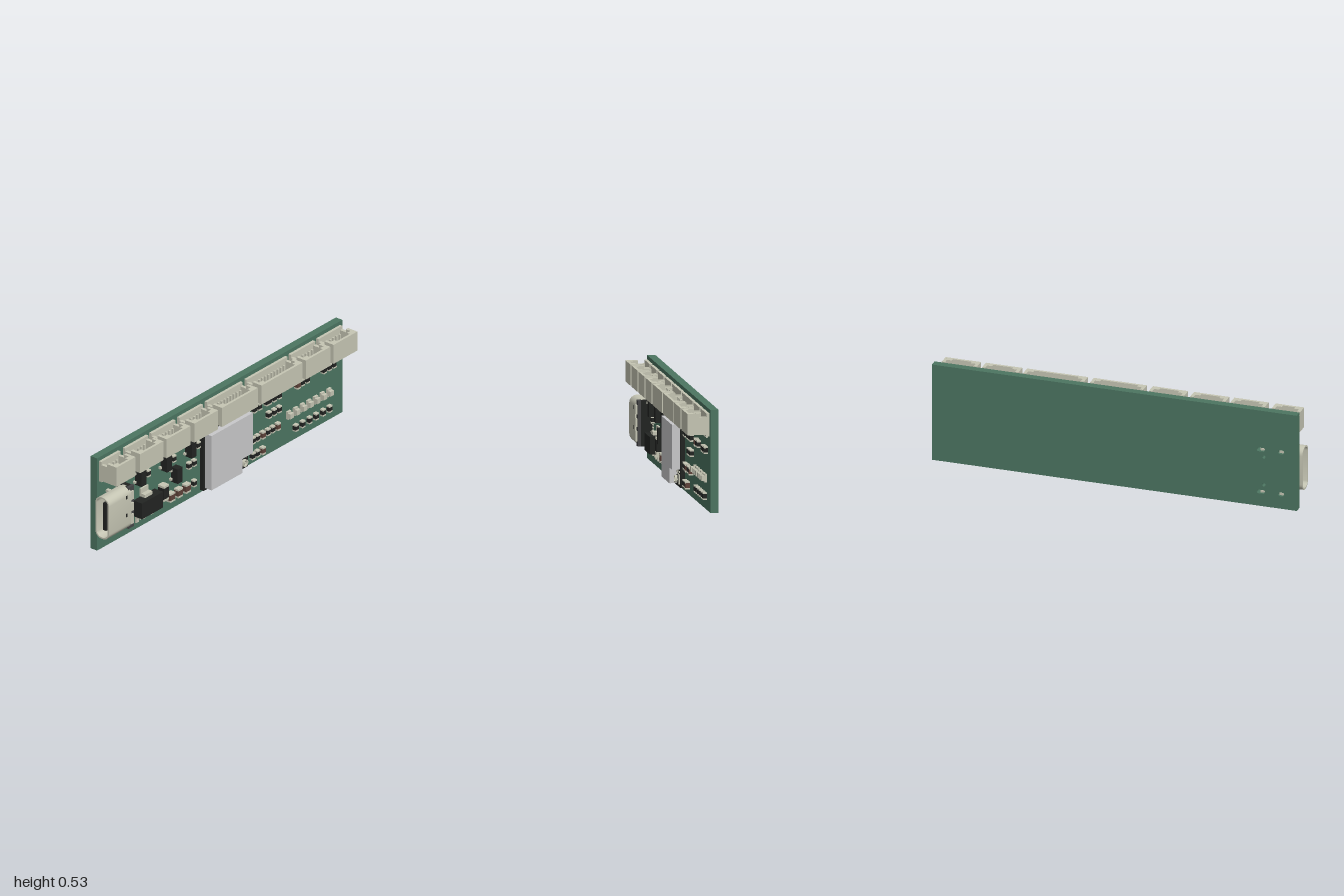
import * as THREE from 'three';
import { toCreasedNormals } from 'three/addons/utils/BufferGeometryUtils.js';

const mat = (name, color) => Object.assign(new THREE.MeshStandardMaterial({ color }), { name });

const BOARD_FRONT = -0.036;

export function createModel() {
  const green = mat('board green', 0x4c7561);
  const cream = mat('tin cream', 0xc6c6b4);
  const black = mat('chip black', 0x222422);
  const silver = mat('shield silver', 0xc8c8ca);
  const brown = mat('ceramic brown', 0x5e4239);
  const grey = mat('plastic grey', 0x454547);
  const root = new THREE.Group();
  root.name = 'circuitBoard';

  const group = (name) => {
    const g = new THREE.Group();
    g.name = name;
    root.add(g);
    return g;
  };
  const add = (parent, name, geo, m) => {
    const mesh = new THREE.Mesh(geo, m);
    mesh.name = name;
    parent.add(mesh);
    return mesh;
  };
  // Box given by its limits on each axis
  const box = (parent, name, m, x0, x1, y0, y1, z0, z1) => {
    const geo = new THREE.BoxGeometry(x1 - x0, y1 - y0, z1 - z0);
    return add(parent, name, geo.translate((x0 + x1) / 2, (y0 + y1) / 2, (z0 + z1) / 2), m);
  };
  const poly = (pts, Type = THREE.Shape) => new Type(pts.map((p) => new THREE.Vector2(...p)));
  // Rounded slot outline, w by h, with corner radius r
  const slot = (cx, cy, w, h, r, Type) => {
    const pts = [];
    for (const [sx, sy, a0] of [[1, 1, 0], [-1, 1, 1], [-1, -1, 2], [1, -1, 3]]) {
      for (let i = 0; i <= 6; i++) {
        const a = (a0 + i / 6) * Math.PI / 2;
        pts.push([cx + sx * (w / 2 - r) + r * Math.cos(a), cy + sy * (h / 2 - r) + r * Math.sin(a)]);
      }
    }
    return poly(pts, Type);
  };
  const extrude = (shape, depth) => new THREE.ExtrudeGeometry(shape, { depth, bevelEnabled: false });

  // Board with the socket's mounting slots and locating holes
  const outline = poly([[-0.985, 0], [1, 0], [1, 0.534], [-0.985, 0.534]]);
  for (const y of [0.08, 0.316]) {
    outline.holes.push(slot(-0.79, y, 0.046, 0.021, 0.0104, THREE.Path));
    outline.holes.push(slot(-0.9, y, 0.034, 0.021, 0.0104, THREE.Path));
  }
  for (const y of [0.12, 0.276]) outline.holes.push(slot(-0.806, y, 0.018, 0.018, 0.0088, THREE.Path));
  add(root, 'board', extrude(outline, 0.043).translate(0, 0, -0.079), green);

  // Row of wire connectors, open at the top
  const connector = (x0, x1) => {
    const g = group('wireConnector');
    const c = (x0 + x1) / 2, h = (x1 - x0) / 2;
    const y0 = 0.403, notch = 0.495, y1 = 0.513;
    const wall = poly([[-h, 0.036], [-h, -0.08], [h, -0.08], [h, 0.036]]);
    const a = h - 0.018, b = h - 0.045;
    wall.holes.push(poly([[-a, 0.02], [a, 0.02], [a, -0.048], [b, -0.048], [b, -0.066],
      [-b, -0.066], [-b, -0.048], [-a, -0.048]], THREE.Path));
    add(g, 'housing', extrude(wall, notch - y0).rotateX(-Math.PI / 2).translate(c, y0, 0), cream);
    // Rim with a gap in each side
    box(g, 'rearRim', cream, x0, x1, notch, y1, BOARD_FRONT, -0.02);
    box(g, 'frontRim', cream, x0, x1, notch, y1, 0.066, 0.08);
    for (const s of [-1, 1]) {
      const e = c + s * h, i = c + s * b;
      box(g, 'cornerRim', cream, Math.min(e, i), Math.max(e, i), notch, y1, 0.048, 0.066);
      const k = c + s * a;
      box(g, 'sideRim', cream, Math.min(e, k), Math.max(e, k), notch, y1, 0.018, 0.048);
      box(g, 'solderTab', cream, c + s * (h - 0.01) - 0.008, c + s * (h - 0.01) + 0.008, 0.395, 0.45, -0.036, -0.018);
    }
    box(g, 'floor', cream, c - a, c + a, y0, 0.43, -0.02, 0.066);
    const n = Math.round((2 * h - 0.1) / 0.025);
    for (let i = 0; i < n; i++) {
      const x = c + (i - (n - 1) / 2) * 0.025;
      box(g, 'pin', cream, x - 0.005, x + 0.005, 0.43, 0.498, 0.005, 0.015);
      box(g, 'pinFoot', cream, x - 0.005, x + 0.005, 0.38, y0, -0.036, -0.026);
    }
    box(g, 'contactSlot', black, c - b * 0.6, c + b * 0.6, 0.43, 0.438, 0.03, 0.04);
  };
  [[-0.97, -0.815], [-0.777, -0.59], [-0.563, -0.371], [-0.339, -0.147], [-0.115, 0.174],
    [0.206, 0.537], [0.563, 0.761], [0.788, 0.98]].forEach(([a, b]) => connector(a, b));

  // Power socket: rounded shell open at the left edge of the board
  const socket = group('powerSocket');
  const shell = slot(-0.01, 0.209, 0.09, 0.24, 0.04);
  shell.holes.push(slot(-0.01, 0.209, 0.074, 0.224, 0.032, THREE.Path));
  add(socket, 'shell', toCreasedNormals(extrude(shell, 0.182).rotateY(Math.PI / 2), 0.6).translate(-1, 0, 0), cream);
  const core = slot(-0.01, 0.209, 0.073, 0.222, 0.031);
  add(socket, 'core', extrude(core, 0.07).rotateY(Math.PI / 2).translate(-0.885, 0, 0), black);
  box(socket, 'tongue', black, -0.98, -0.88, 0.13, 0.288, 0, 0.02);
  box(socket, 'rearBlock', black, -0.83, -0.79, 0.09, 0.328, -0.034, 0.03);
  box(socket, 'rearPlate', grey, -0.83, -0.785, 0.09, 0.328, 0.03, 0.046);
  for (const [a, b] of [[0.115, 0.17], [0.19, 0.235], [0.255, 0.303]])
    box(socket, 'shellTab', cream, -0.82, -0.797, a, b, 0.046, 0.055);
  for (const y of [0.183, 0.285]) box(socket, 'shellSlot', black, -0.862, -0.852, y - 0.01, y + 0.01, 0.05, 0.0555);
  for (const y of [0.08, 0.316]) for (const x of [-0.9, -0.795])
    box(socket, 'shellLeg', cream, x - 0.01, x + 0.01, y - 0.006, y + 0.006, -0.074, 0);
  for (let i = 0; i < 12; i++) {
    const y = 0.132 + i * 0.014;
    box(socket, 'contactFoot', cream, -0.79, -0.775, y - 0.003, y + 0.003, -0.036, -0.03);
  }

  // Wireless module with a notched shield can
  const radio = group('wirelessModule');
  box(radio, 'moduleBoard', black, -0.152, 0.206, 0.016, 0.356, BOARD_FRONT, -0.012);
  const can = poly([[-0.139, 0.028], [0.11, 0.028], [0.11, 0.11], [0.195, 0.11], [0.195, 0.343], [-0.139, 0.343]]);
  add(radio, 'shieldCan', extrude(can, 0.042).translate(0, 0, -0.012), silver);
  box(radio, 'aerialBase', cream, 0.135, 0.187, 0.032, 0.084, -0.012, -0.006);
  box(radio, 'aerialInsulator', black, 0.141, 0.181, 0.036, 0.08, -0.006, -0.002);
  const ring = [[0.014, -0.004], [0.02, -0.004], [0.02, 0.012], [0.014, 0.012], [0.014, -0.004]];
  const ringGeo = new THREE.LatheGeometry(ring.map((p) => new THREE.Vector2(...p)), 24);
  add(radio, 'aerialRing', toCreasedNormals(ringGeo.rotateX(Math.PI / 2), 0.6).translate(0.161, 0.058, 0), cream);
  add(radio, 'aerialPin', new THREE.CylinderGeometry(0.005, 0.005, 0.014, 12).rotateX(Math.PI / 2).translate(0.161, 0.058, 0.002), cream);
  for (const [x, y] of [[0.124, 0.092], [0.14, 0.098], [0.124, 0.06], [0.185, 0.096]])
    box(radio, 'pad', cream, x - 0.005, x + 0.005, y - 0.005, y + 0.005, -0.012, -0.006);

  // Small transistors with leads on both sides
  for (const [x, y] of [[-0.664, 0.304], [-0.456, 0.304], [-0.257, 0.304], [-0.371, 0.203]]) {
    const g = group('transistor');
    box(g, 'body', black, x - 0.02, x + 0.02, y - 0.042, y + 0.042, -0.032, 0.012);
    for (const [s, dy] of [[-1, -0.025], [-1, 0.025], [1, 0]])
      box(g, 'lead', cream, x + s * 0.024 - 0.008, x + s * 0.024 + 0.008, y + dy - 0.006, y + dy + 0.006, -0.036, -0.022);
  }

  // Voltage regulator with heat tab and three bent leads
  const reg = group('regulator');
  box(reg, 'body', black, -0.697, -0.526, 0.085, 0.176, -0.032, 0.026);
  const lead = (x, w, y, s) => {
    box(reg, 'leadShoulder', cream, x - w, x + w, Math.min(y, y + s * 0.018), Math.max(y, y + s * 0.018), -0.036, 0);
    box(reg, 'leadFoot', cream, x - w, x + w, Math.min(y, y + s * 0.046), Math.max(y, y + s * 0.046), -0.036, -0.026);
  };
  lead(-0.61, 0.03, 0.176, 1);
  for (const x of [-0.67, -0.61, -0.55]) lead(x, 0.01, 0.085, -1);

  // Two-ended parts: body between two metal caps
  const chip = (name, body, x, y, w, h, top, cap) => {
    const g = group(name);
    const r = h / 2;
    box(g, 'body', body, x - w / 2, x + w / 2, y - r + cap, y + r - cap, BOARD_FRONT, top - 0.001);
    for (const s of [-1, 1]) {
      const m = y + s * (r - cap / 2);
      box(g, 'cap', cream, x - w / 2, x + w / 2, m - cap / 2, m + cap / 2, BOARD_FRONT, top);
    }
  };
  chip('diode', black, -0.473, 0.14, 0.042, 0.088, 0.005, 0.012);

  const resistors = [
    [0.235, [-0.738]], [0.155, [-0.738]], [0.294, [-0.588, -0.38, -0.184]], [0.203, [-0.255, -0.216]],
    [0.085, [-0.214]], [0.315, [0.273, 0.313, 0.375, 0.392, 0.433, 0.473]], [0.235, [0.392, 0.433, 0.473]],
    [0.14, [0.262, 0.297, 0.382, 0.42]], [0.05, [0.26, 0.297]],
    [0.315, [0.66, 0.7, 0.836, 0.878, 0.916]], [0.072, [0.61, 0.664, 0.72, 0.773, 0.83, 0.882]],
  ];
  for (const [y, xs] of resistors) for (const x of xs) chip('resistor', black, x, y, 0.025, 0.038, -0.014, 0.008);
  for (const x of [-0.408, -0.344, -0.28]) chip('largeCapacitor', brown, x, 0.085, 0.038, 0.05, -0.006, 0.01);
  for (const [x, y] of [[0.34, 0.14], [0.462, 0.14], [0.34, 0.05], [0.623, 0.315]])
    chip('capacitor', brown, x, y, 0.026, 0.042, -0.012, 0.009);

  // Row of indicator lamps
  for (let i = 0; i < 7; i++) {
    const x = 0.558 + i * 0.054;
    const g = group('indicatorLamp');
    box(g, 'base', cream, x - 0.014, x + 0.014, 0.143, 0.187, BOARD_FRONT, -0.022);
    box(g, 'lens', cream, x - 0.014, x + 0.014, 0.151, 0.179, -0.022, -0.006);
  }
  return root;
}
